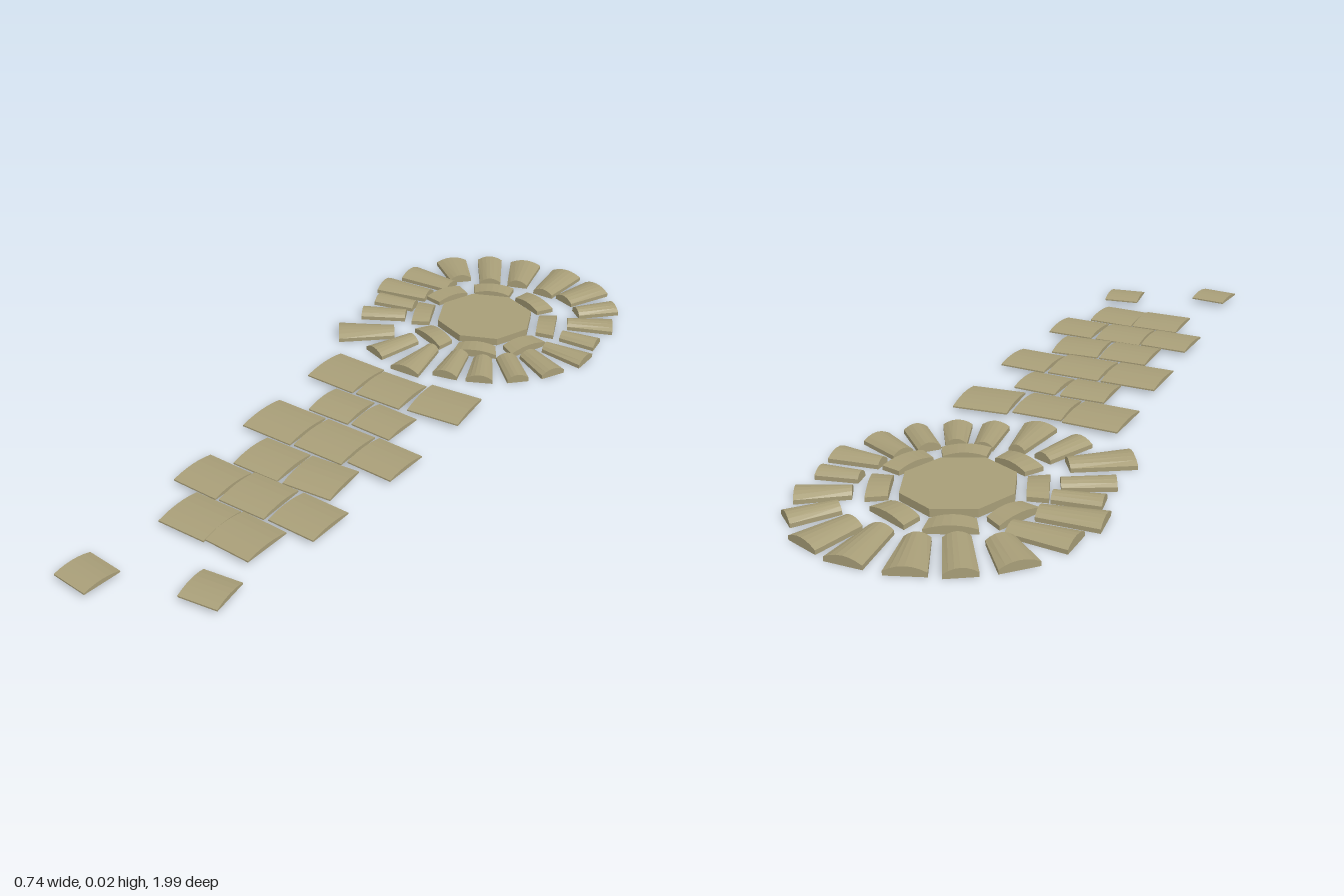
import * as THREE from 'three';

const material = new THREE.MeshStandardMaterial({ color: 0xa89e78, flatShading: true });
const UNIT = 0.0053; // grid step used for the circle's layout
const CENTRE = { x: 0.01, z: -0.593 };

// Stone with a flat base and a shallow arched top, tapering along +z from wIn to wOut
function archedStone(name, wIn, wOut, length, base, edge, peak, segments = 6) {
  const shape = new THREE.Shape();
  shape.moveTo(-0.5, base);
  shape.lineTo(0.5, base);
  for (let i = 0; i <= segments; i++) {
    const x = 0.5 - i / segments;
    shape.lineTo(x, edge + (peak - edge) * (1 - 4 * x * x));
  }
  const geometry = new THREE.ExtrudeGeometry(shape, { depth: 1, bevelEnabled: false });
  const p = geometry.attributes.position;
  for (let i = 0; i < p.count; i++) {
    const t = p.getZ(i);
    p.setX(i, p.getX(i) * THREE.MathUtils.lerp(wIn, wOut, t));
    p.setZ(i, t * length);
  }
  geometry.computeVertexNormals();
  const mesh = new THREE.Mesh(geometry, material);
  mesh.name = name;
  return mesh;
}

// Outer ring: inner end x, z, outer end x, z, inner width, outer width
const OUTER = [
  [12, -46, 12, -76, 12, 18], [26, -45.5, 35, -70, 13, 18],
  [38.5, -36.5, 53.5, -54, 10, 13.5], [40.5, -22, 62.5, -33.5, 9.5, 15],
  [44.5, -8, 64.5, -10.5, 8, 11.5], [43, 8, 67.5, 8.5, 8, 15],
  [39, 20, 59.5, 30.5, 11, 14], [31, 30, 47.5, 46.5, 11, 11.5],
  [21.5, 38.5, 31, 58.5, 10, 14], [8.5, 40.5, 13.5, 64.5, 9.5, 13.5],
  [-7, 44, -6.5, 72.5, 8, 17], [-21.5, 41, -30.5, 65.5, 10, 14],
  [-34.5, 40, -59.5, 57.5, 12, 18.5], [-39.5, 20.5, -61.5, 31.5, 10, 12],
  [-41, 8.5, -63.5, 12.5, 9, 11.5], [-41.5, -7, -70.5, -3.5, 12, 17],
  [-36.5, -24, -66, -24.5, 12, 17], [-36.5, -34.5, -53.5, -51.5, 12.5, 18],
  [-20, -40.5, -35, -66, 12, 14.5], [-5.5, -47, -14.5, -73.5, 11.5, 18],
];

// Path tiles: x, z, width, depth, turn in degrees
const TILES = [
  [-0.146, -0.1, 0.153, 0.148, 2], [0.008, -0.095, 0.138, 0.138, 0], [0.167, -0.114, 0.15, 0.146, -5],
  [-0.056, 0.048, 0.126, 0.126, 0], [0.08, 0.048, 0.122, 0.122, 3],
  [-0.135, 0.196, 0.156, 0.152, 1], [0.027, 0.196, 0.15, 0.148, 1], [0.178, 0.19, 0.134, 0.134, 3],
  [-0.056, 0.35, 0.138, 0.138, 0], [0.093, 0.345, 0.137, 0.137, -4],
  [-0.13, 0.493, 0.136, 0.134, 2], [0.013, 0.49, 0.136, 0.138, 0], [0.162, 0.49, 0.136, 0.134, 2],
  [-0.05, 0.635, 0.138, 0.138, 0], [0.087, 0.633, 0.134, 0.134, 3],
  [0.143, 0.826, 0.104, 0.104, -7], [-0.122, 0.938, 0.104, 0.104, 6],
];

export function createModel() {
  const model = new THREE.Group();
  model.name = 'stonePath';

  const circle = new THREE.Group();
  circle.name = 'stoneCircle';
  circle.position.set(CENTRE.x, 0, CENTRE.z);
  model.add(circle);

  // Flat octagonal slab in the middle
  const slab = new THREE.Mesh(new THREE.CylinderGeometry(0.143, 0.143, 0.021, 8), material);
  slab.name = 'centreSlab';
  slab.position.y = 0.0135;
  circle.add(slab);

  // Eight short stones along the slab's sides
  for (let i = 0; i < 8; i++) {
    const a = ((i + 0.5) * Math.PI) / 4;
    const stone = archedStone('innerStone', 0.106, 0.124, 0.052, 0.003, 0.015, 0.025);
    stone.position.set(Math.sin(a) * 0.158, 0, Math.cos(a) * 0.158);
    stone.rotation.y = a;
    circle.add(stone);
  }

  // Irregular outer ring of wedge stones
  for (const [ix, iz, ox, oz, wi, wo] of OUTER) {
    const length = Math.hypot(ox - ix, oz - iz) * UNIT;
    const stone = archedStone('outerStone', wi * UNIT, wo * UNIT, length, 0.003, 0.014, 0.027);
    stone.position.set(ix * UNIT, 0, iz * UNIT);
    stone.rotation.y = Math.atan2(ox - ix, oz - iz);
    circle.add(stone);
  }

  // Path tiles, arched from front to back
  const path = new THREE.Group();
  path.name = 'path';
  model.add(path);
  for (const [x, z, width, depth, turn] of TILES) {
    const tile = archedStone('pathTile', depth, depth, width, 0.014, 0.018, 0.026);
    tile.geometry.translate(0, 0, -width / 2);
    tile.position.set(x, 0, z);
    tile.rotation.y = Math.PI / 2 - THREE.MathUtils.degToRad(turn);
    path.add(tile);
  }

  return model;
}
